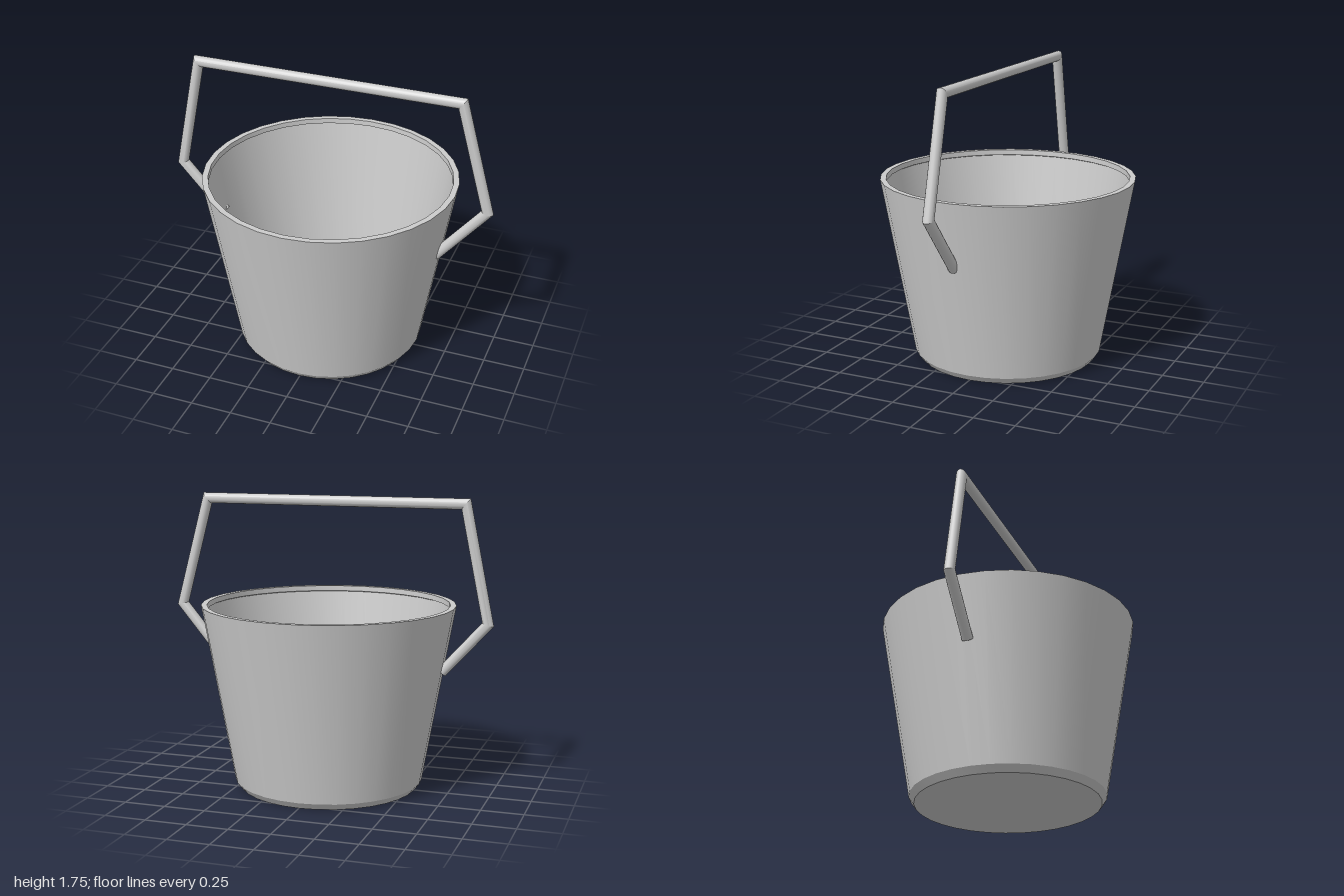
import * as THREE from 'three';
import { toCreasedNormals } from 'three/addons/utils/BufferGeometryUtils.js';

// Round rod along a path in the xy plane, with mitred corners and flat ends
function mitredRod(path, radius, sides) {
  const pts = path.map(([x, y]) => new THREE.Vector2(x, y));
  const dirs = pts.slice(1).map((p, i) => p.clone().sub(pts[i]).normalize());
  const pos = [], index = [];
  pts.forEach((p, i) => {
    const a = dirs[Math.max(i - 1, 0)], b = dirs[Math.min(i, dirs.length - 1)];
    const t = a.clone().add(b).normalize();
    const stretch = radius / t.dot(a);
    for (let s = 0; s < sides; s++) {
      const u = (s / sides) * Math.PI * 2;
      const k = Math.cos(u) * stretch;
      pos.push(p.x - t.y * k, p.y + t.x * k, Math.sin(u) * radius);
    }
  });
  for (let i = 0; i < dirs.length; i++) {
    for (let s = 0; s < sides; s++) {
      const n = (s + 1) % sides, r0 = i * sides, r1 = r0 + sides;
      index.push(r0 + s, r0 + n, r1 + s, r0 + n, r1 + n, r1 + s);
    }
  }
  // End caps
  const last = dirs.length * sides;
  for (let s = 1; s < sides - 1; s++) {
    index.push(0, s + 1, s, last, last + s, last + s + 1);
  }
  const geo = new THREE.BufferGeometry();
  geo.setAttribute('position', new THREE.Float32BufferAttribute(pos, 3));
  geo.setIndex(index);
  return toCreasedNormals(geo, 0.5);
}

export function createModel() {
  const group = new THREE.Group();
  const material = new THREE.MeshStandardMaterial({ color: 0xcccccc, side: THREE.DoubleSide });

  // Tapered body: chamfered foot, outer wall, flat rim, inner lip, inner wall, floor
  const profile = [
    [0, 0], [0.54, 0], [0.57, 0.04], [0.762, 1.112],
    [0.727, 1.112], [0.725, 1.08], [0.737, 1.075],
    [0.562, 0.05], [0.537, 0.015], [0, 0.015],
  ].map(([r, y]) => new THREE.Vector2(r, y));
  const body = new THREE.Mesh(toCreasedNormals(new THREE.LatheGeometry(profile, 32), 0.35), material);
  body.name = 'bucketBody';
  body.position.x = -0.004;
  group.add(body);

  // Angular carrying handle, its ends pushed into the wall
  const handle = new THREE.Mesh(mitredRod([
    [-0.697, 0.733], [-0.965, 1.03], [-0.823, 1.722],
    [0.781, 1.722], [0.96, 1.063], [0.667, 0.713],
  ], 0.032, 16), material);
  handle.name = 'handle';
  handle.position.z = 0.026;
  group.add(handle);

  return group;
}
